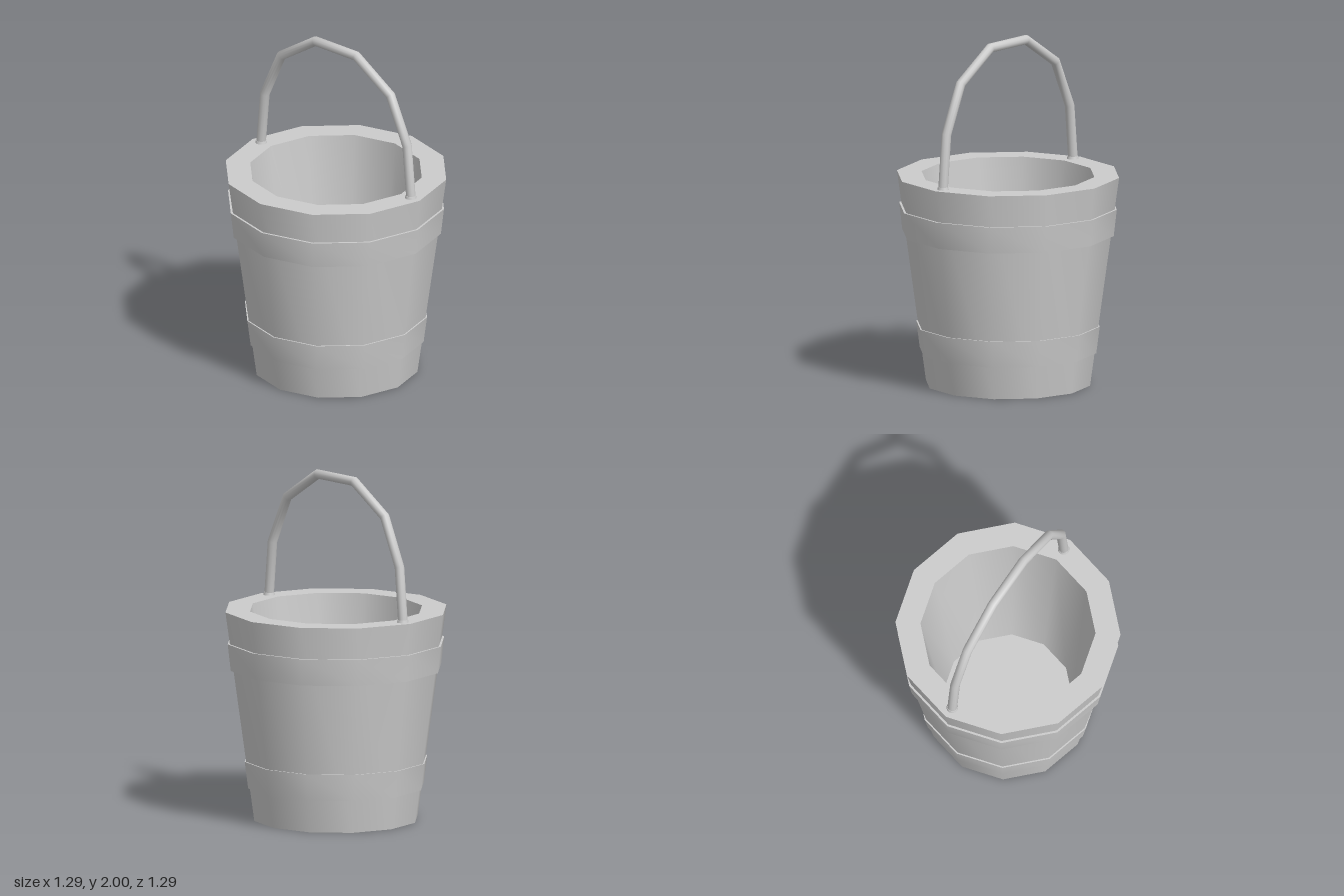
import * as THREE from 'three';
import { toCreasedNormals } from 'three/addons/utils/BufferGeometryUtils.js';

const material = new THREE.MeshStandardMaterial({ color: 0xcccccc });
const SIDES = 12;

function addMesh(parent, name, geometry) {
  const mesh = new THREE.Mesh(geometry, material);
  mesh.name = name;
  parent.add(mesh);
  return mesh;
}

// Twelve-sided turned solid: soft around the sides, sharp at profile corners
function turned(profile) {
  const points = profile.map(([r, y]) => new THREE.Vector2(r, y));
  return toCreasedNormals(new THREE.LatheGeometry(points, SIDES), 0.7);
}

// Straight-segmented path with one tube ring at each corner
class CornerPath extends THREE.Curve {
  constructor(points) {
    super();
    this.points = points;
  }
  getUtoTmapping(u) {
    return u;
  }
  getPoint(t, target = new THREE.Vector3()) {
    const f = t * (this.points.length - 1);
    const i = Math.min(Math.floor(f), this.points.length - 2);
    return target.lerpVectors(this.points[i], this.points[i + 1], f - i);
  }
}

export function createModel() {
  const bucket = new THREE.Group();
  bucket.name = 'bucket';

  // Thick tapered wall with inner floor and recessed underside
  addMesh(bucket, 'body', turned([
    [0, 0.05], [0.41, 0.05], [0.41, 0], [0.475, 0],
    [0.643, 1.215], [0.5, 1.215], [0.37, 0.1], [0, 0.1],
  ]));

  // Raised hoops: bottom y, top y, bottom radius, top radius
  const hoops = [
    ['lowerHoop', 0.19, 0.345, 0.511, 0.531],
    ['upperHoop', 0.875, 1.03, 0.612, 0.63],
  ];
  for (const [name, y0, y1, r0, r1] of hoops) {
    addMesh(bucket, name, turned([
      [r0 - 0.04, y0], [r0, y0], [r1, y1], [r1 - 0.04, y1],
    ]));
  }

  // Arched handle, mirrored from its left half
  const half = [[0.58, 1.18], [0.547, 1.53], [0.42, 1.805], [0.157, 1.973]];
  const path = [
    ...half.map(([x, y]) => new THREE.Vector3(x, y, 0)),
    ...half.map(([x, y]) => new THREE.Vector3(-x, y, 0)).reverse(),
  ];
  addMesh(bucket, 'handle',
    new THREE.TubeGeometry(new CornerPath(path), path.length - 1, 0.028, 12));

  // Small collars where the handle enters the rim
  for (const side of [1, -1]) {
    const collar = addMesh(bucket, side > 0 ? 'leftCollar' : 'rightCollar',
      new THREE.CylinderGeometry(0.03, 0.038, 0.03, 12));
    collar.position.set(side * 0.576, 1.215, 0);
  }

  return bucket;
}
